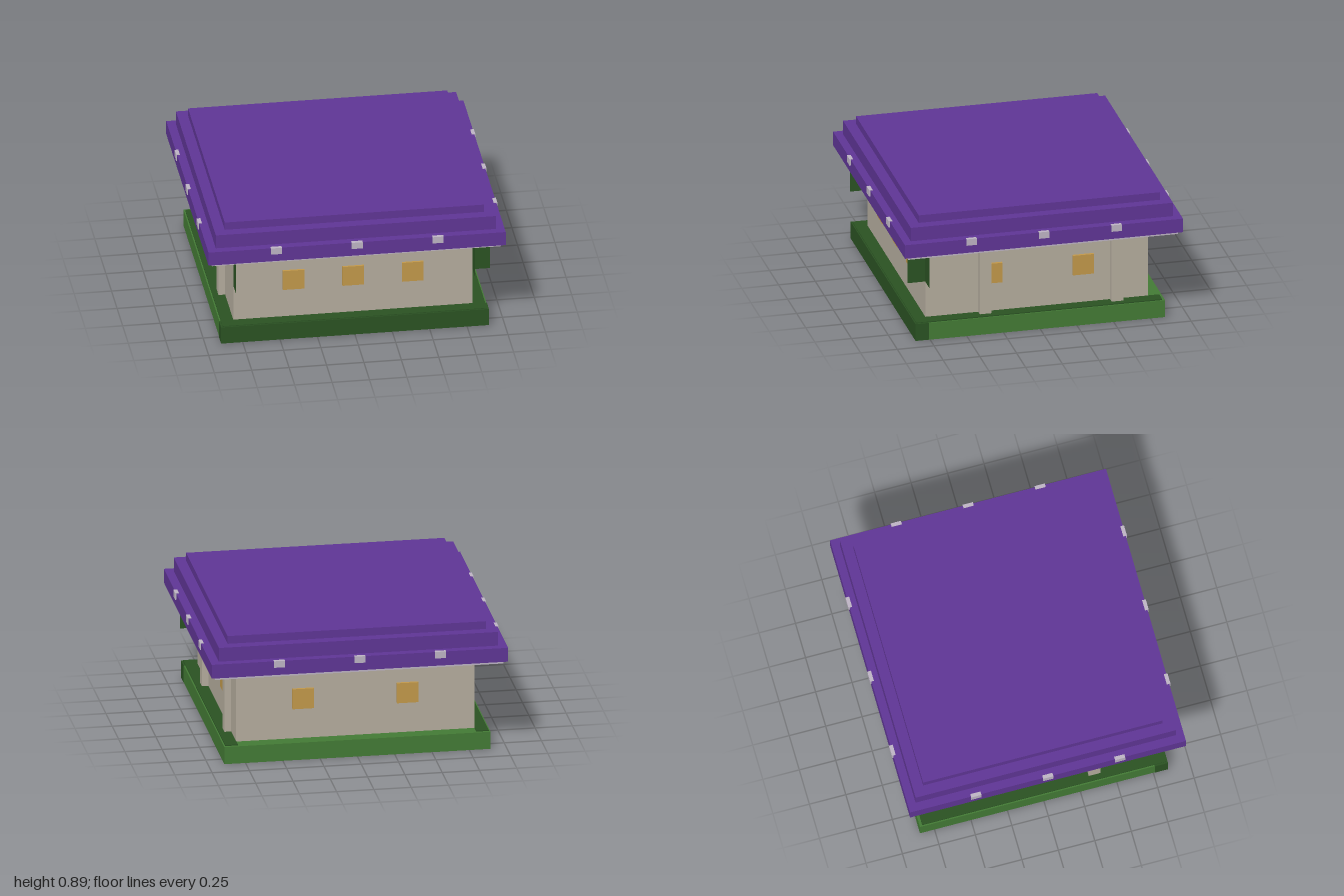
import * as THREE from 'three';

const mat = (name, color) => {
  const m = new THREE.MeshStandardMaterial({ color });
  m.name = name;
  return m;
};

export function createModel() {
  const root = new THREE.Group();
  root.name = 'pavilion';
  const wall = mat('warm stone', 0xb4ac9d);
  const purple = mat('purple roof', 0x5f3595);
  const gold = mat('amber window', 0xc1984a);
  const green = mat('grass green', 0x437a35);
  const dark = mat('dark green', 0x2a5222);
  const lavender = mat('pale lavender', 0xbdb4c4);
  const flag = mat('dark green panel', 0x2a5222);
  flag.side = THREE.DoubleSide;

  // Box given by its extents on each axis
  const box = (name, m, [x0, x1], [y0, y1], [z0, z1]) => {
    const mesh = new THREE.Mesh(new THREE.BoxGeometry(x1 - x0, y1 - y0, z1 - z0), m);
    mesh.position.set((x0 + x1) / 2, (y0 + y1) / 2, (z0 + z1) / 2);
    mesh.name = name;
    root.add(mesh);
  };
  const around = (c, w) => [c - w / 2, c + w / 2];

  // Base slab with a dark front curb and border strips
  box('baseSlab', green, [-0.892, 0.892], [0, 0.12], [-0.85, 0.845]);
  box('frontCurb', dark, [-0.895, 0.895], [0.002, 0.122], [0.76, 0.85]);
  box('frontBorder', dark, [-0.883, 0.883], [0.12, 0.127], [0.76, 0.842]);
  for (const s of [-1, 1])
    box('sideBorder', dark, around(s * 0.841, 0.084), [0.12, 0.127], [-0.832, 0.77]);

  // Walls and side pilasters
  box('walls', wall, [-0.8, 0.8], [0.12, 0.62], [-0.757, 0.76]);
  for (const [s, z] of [[1, 0.36], [1, -0.537], [-1, 0.36]])
    box('pilaster', wall, around(s * 0.82, 0.05), [0.12, 0.62], around(z, 0.08));

  // Windows
  for (const x of [-0.398, 0, 0.398])
    box('frontWindow', gold, around(x, 0.144), [0.33, 0.47], [0.755, 0.775]);
  for (const x of [-0.35, 0.35])
    box('backWindow', gold, around(x, 0.144), [0.33, 0.47], [-0.775, -0.75]);
  for (const s of [-1, 1])
    for (const z of [-0.312, 0.312])
      box('sideWindow', gold, around(s * 0.807, 0.024), [0.33, 0.47], around(z, 0.144));

  // Thin hanging panels at the front corners
  const panel = (w, x, z, turn) => {
    const p = new THREE.Mesh(new THREE.PlaneGeometry(w, 0.24), flag);
    p.position.set(x, 0.5, z);
    p.rotation.y = turn;
    p.name = 'cornerPanel';
    root.add(p);
  };
  panel(0.12, 0.799, 0.82, Math.PI / 2);
  panel(0.12, -0.799, 0.82, Math.PI / 2);
  panel(0.12, 0.857, 0.761, 0);

  // Soffit and stepped roof
  box('soffit', lavender, [-0.967, 0.967], [0.62, 0.645], [-0.918, 0.918]);
  for (const [x, z, y0, y1] of [[0.993, 0.946, 0.641, 0.738], [0.936, 0.892, 0.738, 0.834], [0.866, 0.821, 0.834, 0.888]])
    box('roofTier', purple, [-x, x], [y0, y1], [-z, z]);

  // Small clips around the roof edge
  for (const s of [-1, 1])
    for (const i of [-1, 0, 1]) {
      box('endClip', lavender, around(i * 0.54, 0.074), [0.695, 0.741], around(s * 0.942, 0.025));
      box('sideClip', lavender, around(s * 0.9875, 0.025), [0.695, 0.741], around(i * 0.493, 0.07));
    }
  return root;
}
